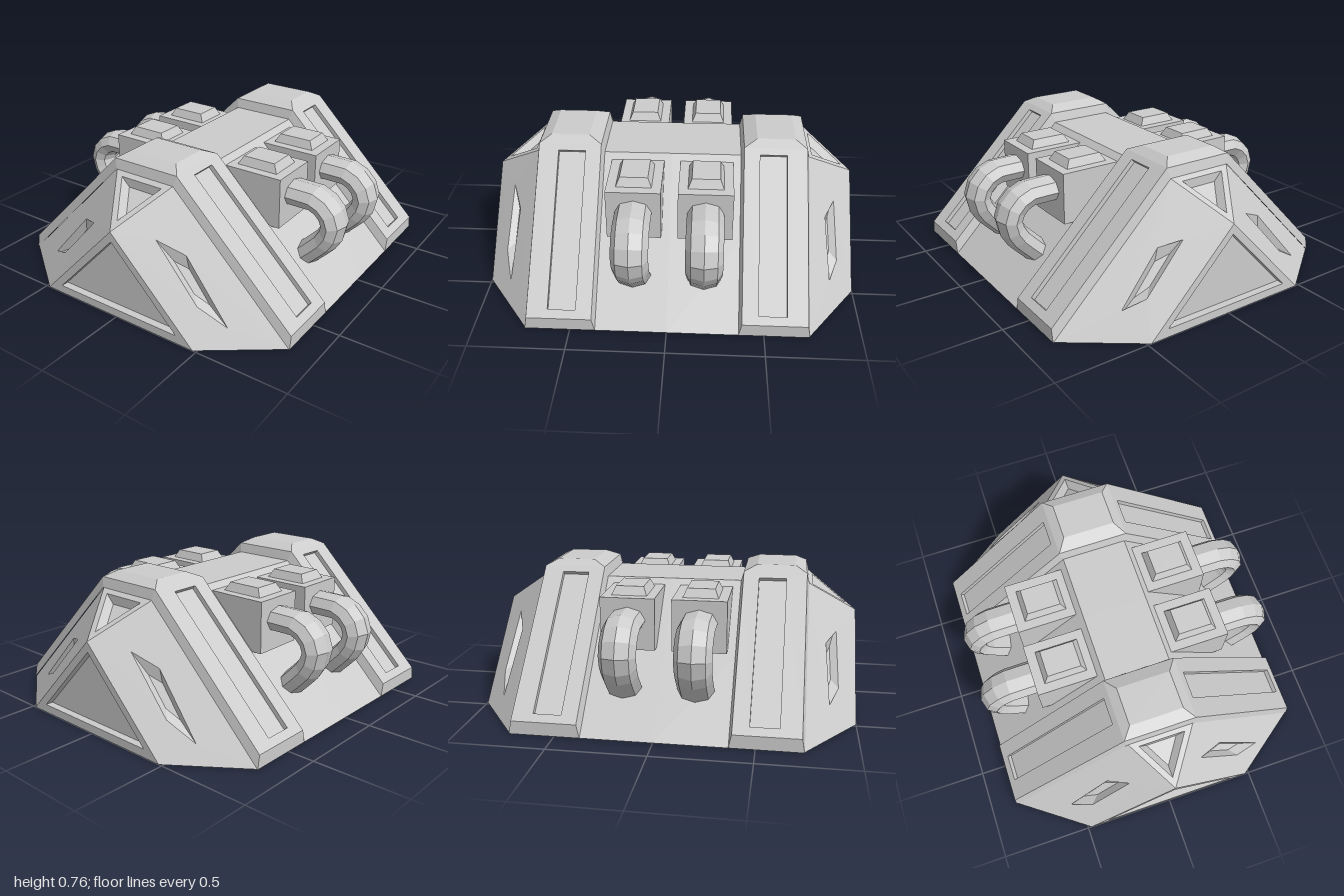
import * as THREE from 'three';

const grey = new THREE.MeshStandardMaterial({ color: 0xcccccc, flatShading: true });
const V = (x, y, z) => new THREE.Vector3(x, y, z);
const CENTRE = V(0, 0.1, 0.55); // inside every half shell, used to face panels outwards
const centroid = loop => loop.reduce((s, p) => s.add(p), V(0, 0, 0)).divideScalar(loop.length);
const mirror = loop => loop.map(p => V(-p.x, p.y, p.z));
const shrink = (loop, k) => {
  const c = centroid(loop);
  return loop.map(p => c.clone().lerp(p, k));
};

// Collects convex panels, plain or with a sunken field
class Shell {
  constructor() { this.pos = []; }
  tri(...pts) { pts.forEach(p => this.pos.push(p.x, p.y, p.z)); }
  fan(loop) {
    for (let i = 1; i < loop.length - 1; i++) this.tri(loop[0], loop[i], loop[i + 1]);
  }
  band(a, b) {
    a.forEach((p, i) => {
      const j = (i + 1) % a.length;
      this.tri(p, a[j], b[j]);
      this.tri(p, b[j], b[i]);
    });
  }
  panel(outer, inner, depth = 0, floorScale = 1) {
    const n = V(0, 0, 0), c = centroid(outer);
    outer.forEach((p, i) => {
      const q = outer[(i + 1) % outer.length];
      n.add(p.clone().sub(c).cross(q.clone().sub(c)));
    });
    n.normalize();
    if (n.dot(c.clone().sub(CENTRE)) < 0) {
      n.negate();
      outer = [...outer].reverse();
      inner = inner && [...inner].reverse();
    }
    if (!inner) return this.fan(outer);
    const floor = shrink(inner, floorScale).map(p => p.addScaledVector(n, -depth));
    this.band(outer, inner);
    this.band(inner, floor);
    this.fan(floor);
  }
  both(outer, ...rest) {
    this.panel(outer, ...rest);
    const [inner, ...more] = rest;
    this.panel(mirror(outer), inner && mirror(inner), ...more);
  }
  mesh(name) {
    const g = new THREE.BufferGeometry();
    g.setAttribute('position', new THREE.Float32BufferAttribute(this.pos, 3));
    g.computeVertexNormals();
    const m = new THREE.Mesh(g, grey);
    m.name = name;
    return m;
  }
}

// Point inside a quad: u along a-b, v across towards d-c
const inQuad = ([a, b, c, d], u, v) => a.clone().lerp(b, u).lerp(d.clone().lerp(c, u), v);

// Half of the sloped hull, with its faceted end
function hull() {
  const s = new Shell();
  s.both([V(0.855, 0, 0), V(0.855, 0, 0.73), V(0.18, 0.675, 0.73), V(0.18, 0.675, 0)]);
  s.panel([V(-0.18, 0.675, 0), V(0.18, 0.675, 0), V(0.18, 0.675, 0.73), V(-0.18, 0.675, 0.73)]);
  s.panel([V(-0.855, 0, 0), V(0.855, 0, 0), V(0.855, 0, 0.73), V(0.48, 0, 1), V(-0.48, 0, 1), V(-0.855, 0, 0.73)]);
  // large sunken triangle on the end
  s.panel([V(-0.48, 0, 1), V(0.48, 0, 1), V(0, 0.49, 1)],
    [V(-0.38, 0.045, 1), V(0.38, 0.045, 1), V(0, 0.435, 1)], 0.04);
  // small sunken triangle above it
  const top = [V(-0.18, 0.675, 0.73), V(0, 0.49, 1), V(0.18, 0.675, 0.73)];
  s.panel(top, shrink(top, 0.7), 0.04, 0.65);
  // slanted cheeks with a shallow groove
  const cheek = [V(0, 0.49, 1), V(0.48, 0, 1), V(0.855, 0, 0.73), V(0.18, 0.675, 0.73)];
  const groove = [[0.2, 0.42], [0.68, 0.36], [0.85, 0.52], [0.36, 0.62]].map(([u, v]) => inQuad(cheek, u, v));
  s.both(cheek, groove, 0.035, 0.5);
  return s.mesh('hull');
}

// Raised band that wraps over the hull
function ridge() {
  const s = new Shell();
  const zIn = 0.385, zOut = 0.722;
  const slope = [V(0.855, 0.07, zIn), V(0.855, 0.07, zOut), V(0.195, 0.728, zOut), V(0.195, 0.728, zIn)];
  const field = [[0.25, 0.05], [0.68, 0.05], [0.68, 0.96], [0.25, 0.96]].map(([u, v]) => inQuad(slope, u, v));
  s.both(slope, field, 0.025);
  s.both([V(0.855, 0, 0.37), V(0.855, 0, 0.735), slope[1], slope[0]]);
  // side walls, and end walls under the cap
  for (const [z0, z1] of [[0.37, zIn], [0.735, zOut]]) {
    s.both([V(0.855, 0, z0), V(0.18, 0.675, z0), V(0.195, 0.728, z1), V(0.855, 0.07, z1)]);
    s.panel([V(-0.18, 0.675, z0), V(0.18, 0.675, z0), V(0.195, 0.728, z1), V(-0.195, 0.728, z1)]);
  }
  // bevelled cap
  const rim = [V(-0.195, 0.728, zOut), V(0.195, 0.728, zOut), V(0.195, 0.728, zIn), V(-0.195, 0.728, zIn)];
  const cap = [V(-0.145, 0.76, 0.66), V(0.145, 0.76, 0.66), V(0.145, 0.76, 0.455), V(-0.145, 0.76, 0.455)];
  s.band(rim, cap);
  s.fan(cap);
  return s.mesh('ridge');
}

// Block with a bevelled button and a bent pipe, on the +x side
function pipeUnit() {
  const g = new THREE.Group();
  g.name = 'pipeUnit';
  const add = (name, geo, x, y) => {
    const m = new THREE.Mesh(geo, grey);
    m.name = name;
    m.position.set(x, y, 0);
    g.add(m);
    return m;
  };
  add('block', new THREE.BoxGeometry(0.33, 0.275, 0.285), 0.375, 0.5075);
  const button = new THREE.CylinderGeometry(0.185 / Math.SQRT2, 0.235 / Math.SQRT2, 0.045, 4).rotateY(Math.PI / 4);
  add('button', button.scale(1, 1, 0.79), 0.37, 0.6675);
  const path = new THREE.CatmullRomCurve3(
    [[0.5, 0.53], [0.6, 0.53], [0.69, 0.525], [0.76, 0.475], [0.787, 0.4], [0.75, 0.315], [0.68, 0.24], [0.58, 0.14]]
      .map(([x, y]) => V(x, y, 0)));
  add('pipe', new THREE.TubeGeometry(path, 12, 0.067, 8), 0, 0).scale.z = 1.42;
  return g;
}

export function createModel() {
  const model = new THREE.Group();
  model.name = 'model';
  for (const turn of [0, Math.PI]) {
    const half = new THREE.Group();
    half.name = turn ? 'backHalf' : 'frontHalf';
    half.rotation.y = turn;
    half.add(hull(), ridge());
    for (const side of [0, Math.PI]) {
      const unit = pipeUnit();
      unit.rotation.y = side;
      unit.position.z = 0.186;
      half.add(unit);
    }
    model.add(half);
  }
  return model;
}
